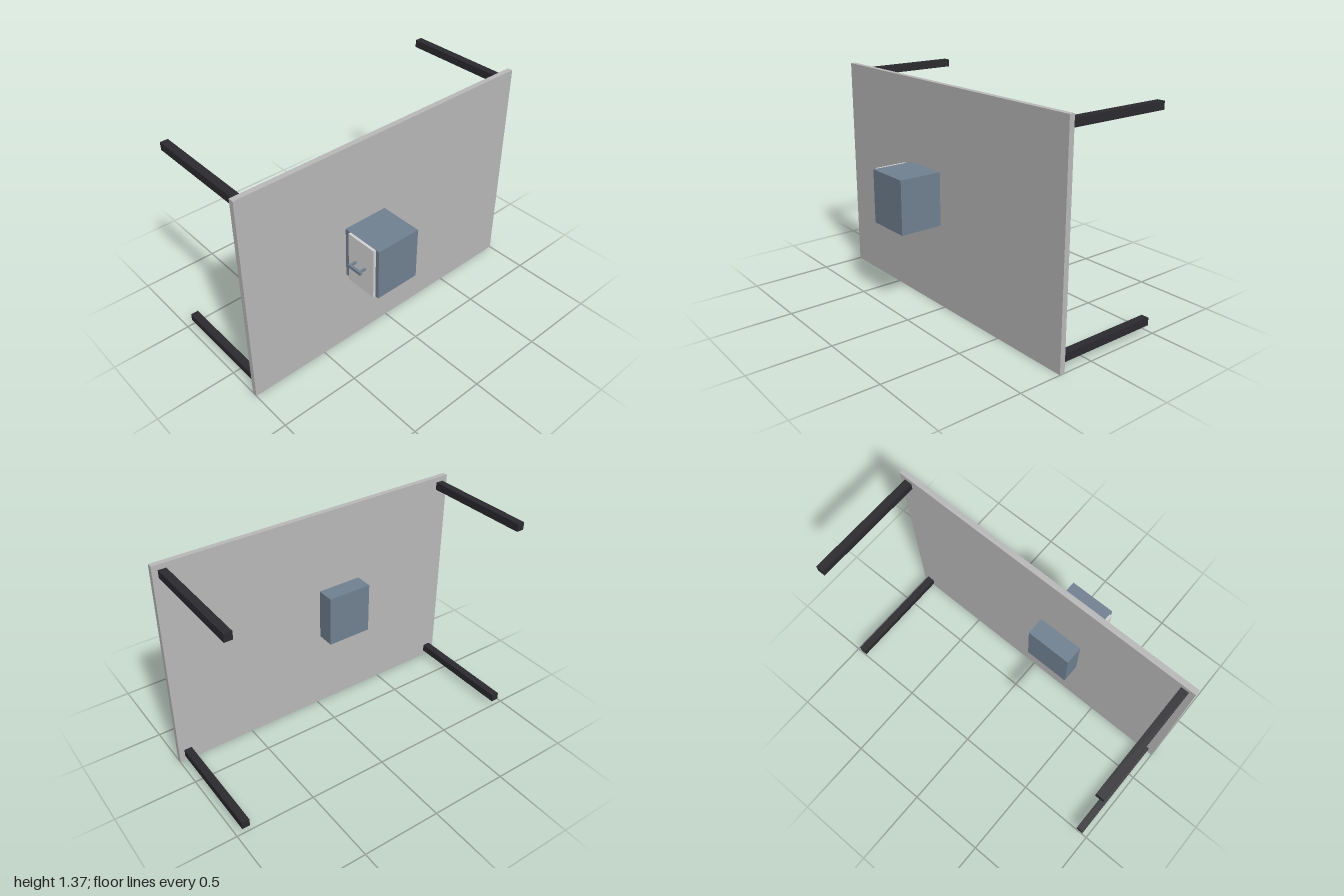
import * as THREE from 'three';

const mat = (name, color) => {
  const m = new THREE.MeshStandardMaterial({ color });
  m.name = name;
  return m;
};

export function createModel() {
  const model = new THREE.Group();
  model.name = 'panelWithBox';
  const grey = mat('light grey', 0xb8b8b8);
  const slate = mat('slate blue', 0x708090);
  const charcoal = mat('charcoal', 0x2b2b2f);
  const pale = mat('pale grey', 0xd3d3d3);

  // Box given by its extents on each axis
  const box = (name, material, [x0, x1], [y0, y1], [z0, z1], parent = model) => {
    const mesh = new THREE.Mesh(new THREE.BoxGeometry(x1 - x0, y1 - y0, z1 - z0), material);
    mesh.position.set((x0 + x1) / 2, (y0 + y1) / 2, (z0 + z1) / 2);
    mesh.name = name;
    parent.add(mesh);
    return mesh;
  };

  // Upright board
  box('board', grey, [-1, 1], [0, 1.366], [0.197, 0.23]);

  // Four square legs reaching backwards
  for (const x of [-0.941, 0.941]) {
    for (const y of [0.06, 1.31]) {
      box('leg', charcoal, [x - 0.024, x + 0.024], [y - 0.024, y + 0.024], [-0.5, 0.197]);
    }
  }

  // Cabinet passing through the board
  box('cabinet', slate, [-0.32, -0.03], [0.52, 0.85], [0.083, 0.5]);

  // Door on the cabinet's right side, with a pull handle
  const door = new THREE.Group();
  door.name = 'door';
  model.add(door);
  box('doorPanel', pale, [-0.336, -0.32], [0.52, 0.85], [0.272, 0.476], door);
  box('handleBar', slate, [-0.389, -0.373], [0.677, 0.695], [0.322, 0.426], door);
  for (const z of [0.333, 0.41]) {
    box('handleStem', slate, [-0.373, -0.336], [0.68, 0.692], [z - 0.006, z + 0.006], door);
  }
  return model;
}
